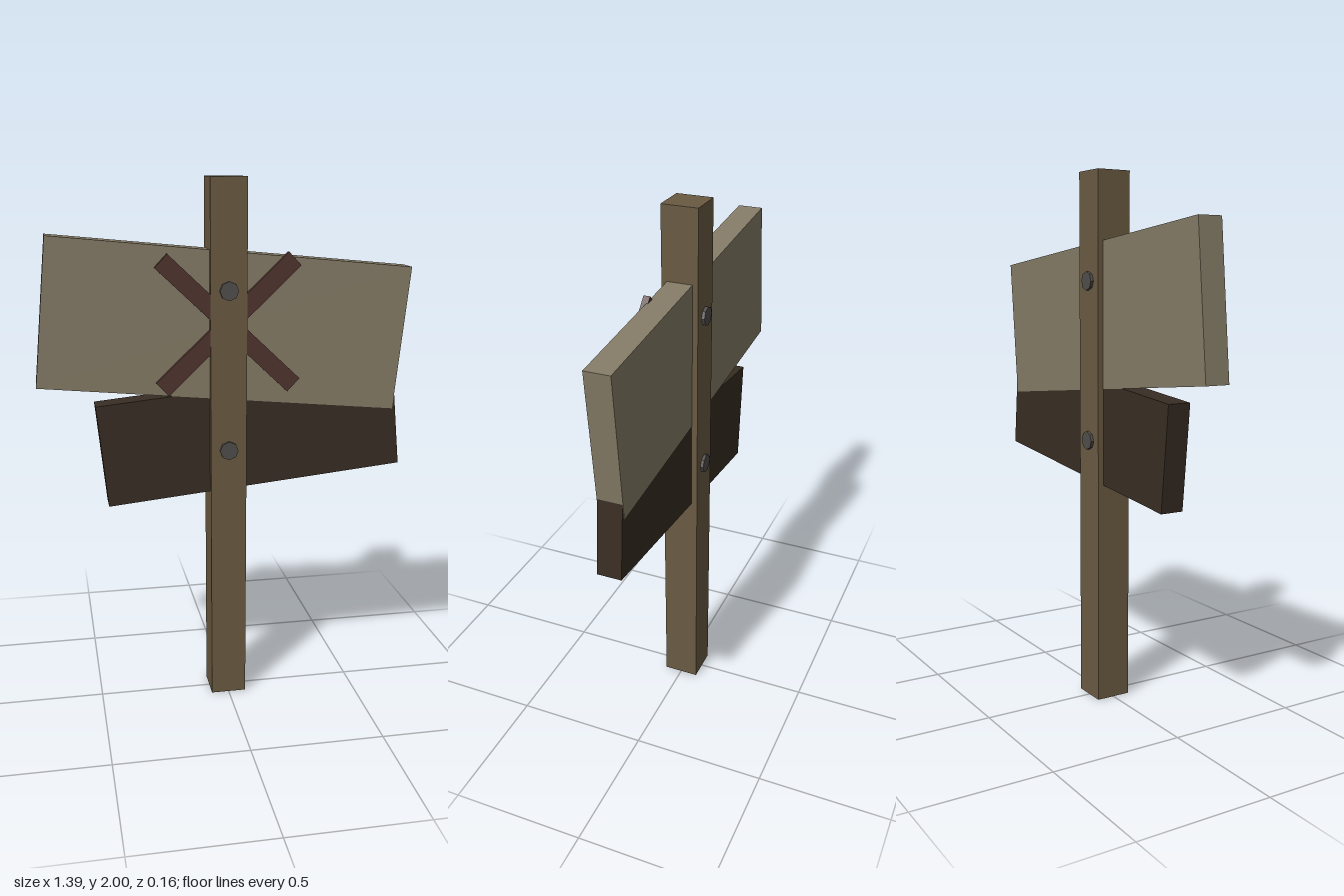
import * as THREE from 'three';

const mat = (name, color) => {
  const m = new THREE.MeshStandardMaterial({ color });
  m.name = name;
  return m;
};

export function createModel() {
  const group = new THREE.Group();
  group.name = 'signpost';

  const postWood = mat('postWood', 0x6a5a42);
  const paleWood = mat('paleWood', 0x847b66);
  const darkWood = mat('darkWood', 0x382d23);
  const redPaint = mat('redPaint', 0x4e332e);
  const iron = mat('iron', 0x504e4b);

  // Box placed by its centre and tilted about z
  const plank = (name, material, [w, h, d], [x, y, z], tilt = 0) => {
    const mesh = new THREE.Mesh(new THREE.BoxGeometry(w, h, d), material);
    mesh.name = name;
    mesh.position.set(x, y, z);
    mesh.rotation.z = tilt;
    group.add(mesh);
  };

  plank('post', postWood, [0.135, 2, 0.135], [0, 1, 0]);

  // Tilted boards; the lower one is a touch thinner so the upper covers it
  plank('upperBoard', paleWood, [1.347, 0.54, 0.094], [-0.002, 1.47, 0], -0.098);
  plank('lowerBoard', darkWood, [1.133, 0.387, 0.09], [0.093, 1.053, 0], 0.099);

  // Crossed slats on the front of the upper board
  for (const side of [1, -1]) {
    plank(side > 0 ? 'crossSlatRising' : 'crossSlatFalling', redPaint,
      [0.675, 0.067, 0.024], [0, 1.48, 0.052], side * 0.76);
  }

  // Bolts running right through the post
  const boltGeometry = new THREE.CylinderGeometry(0.035, 0.035, 0.158, 8).toNonIndexed();
  boltGeometry.rotateX(Math.PI / 2);
  boltGeometry.computeVertexNormals();
  for (const [name, y] of [['upperBolt', 1.602], ['lowerBolt', 1.007]]) {
    const bolt = new THREE.Mesh(boltGeometry, iron);
    bolt.name = name;
    bolt.position.y = y;
    group.add(bolt);
  }

  return group;
}
